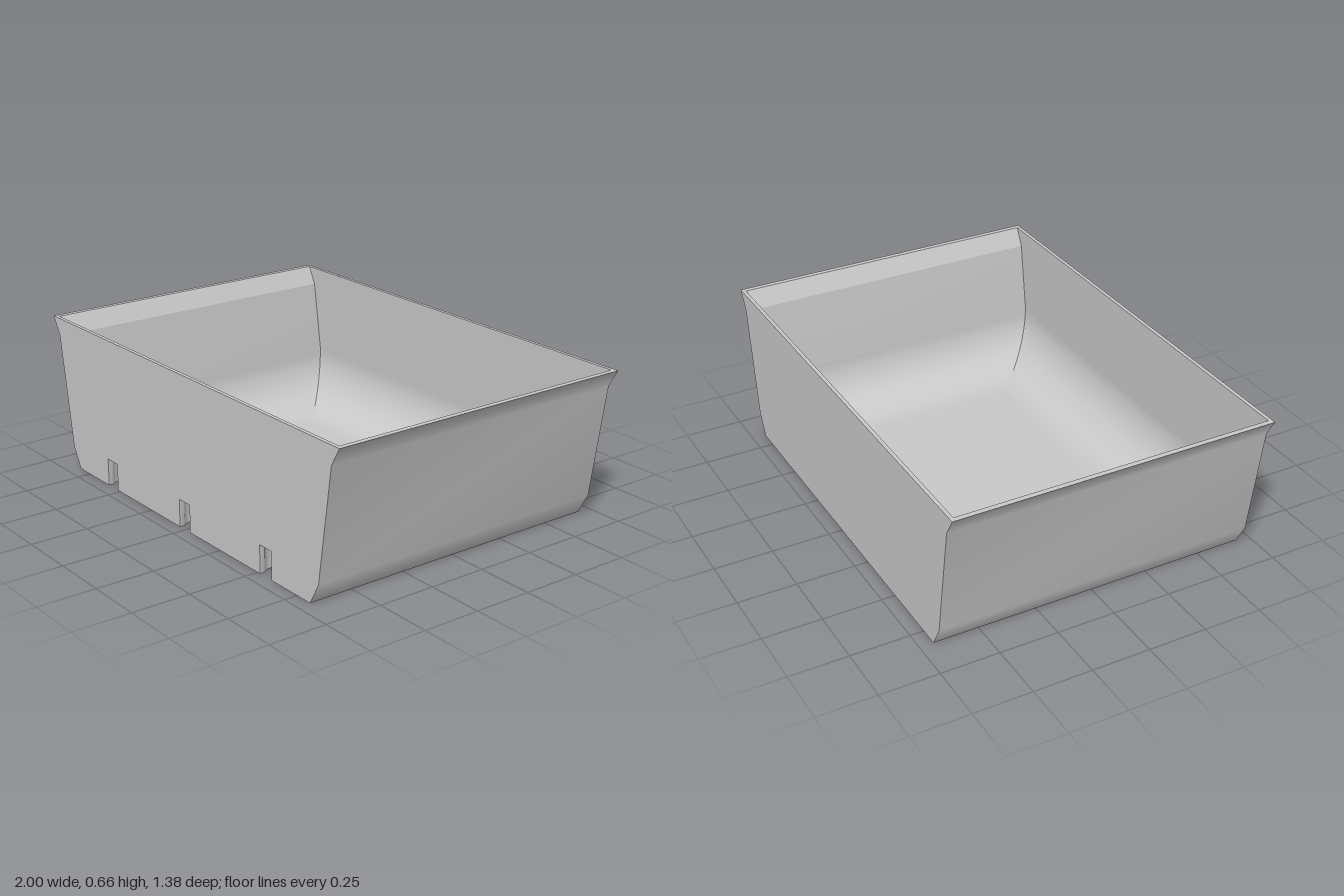
import * as THREE from 'three';
import { mergeGeometries } from 'three/addons/utils/BufferGeometryUtils.js';

const TOP = 0.657, HZ = 0.692;         // height and half depth of the tray
const NOTCHES = [-0.553, 0, 0.553];    // x centres of the drain notches
const SLOT = 0.037, POCKET_R = 0.055, POCKET_Z = 0.63, SLOT_TOP = 0.12;
const OUTER = [[0.83, 0], [0.88, 0.09], [0.955, 0.58], [1, TOP]]; // half x, y

// Smooth surface through rows of points
function grid(rows) {
  const n = rows[0].length, index = [];
  for (let i = 0; i < rows.length - 1; i++) {
    for (let j = 0; j < n - 1; j++) {
      const a = i * n + j, b = a + n;
      index.push(a, b, a + 1, b, b + 1, a + 1);
    }
  }
  const geo = new THREE.BufferGeometry();
  geo.setAttribute('position', new THREE.Float32BufferAttribute(rows.flat(2), 3));
  geo.setIndex(index);
  geo.computeVertexNormals();
  return geo;
}

// Four mitred panels following rectangular rings [halfX, halfZ, y]
function ringPanels(rings) {
  const corners = [[1, -1], [1, 1], [-1, 1], [-1, -1]];
  return mergeGeometries(corners.map((c, k) => {
    const d = corners[(k + 1) % 4];
    return grid(rings.map(([hx, hz, y]) => [c, d].map(([sx, sz]) => [sx * hx, y, sz * hz])));
  }));
}

const flat = (points) => new THREE.ShapeGeometry(
  new THREE.Shape(points.map(([x, y]) => new THREE.Vector2(x, y))));

// Keyhole plan of one notch: a slot through the wall opening into a round pocket
function keyhole() {
  const end = Math.PI - Math.asin(SLOT / POCKET_R), pts = [[-SLOT, HZ]];
  for (let i = 0; i <= 24; i++) {
    const a = -end + (2 * end * i) / 24;
    pts.push([POCKET_R * Math.sin(a), POCKET_Z - POCKET_R * Math.cos(a)]);
  }
  pts.push([SLOT, HZ]);
  return pts;
}

// Pocket ceiling slopes up from the back to the slot
function ceilingY(z) {
  const t = (z - (POCKET_Z - POCKET_R)) / 0.095;
  return 0.06 + (SLOT_TOP - 0.06) * Math.min(1, Math.max(0, t));
}

export function createModel() {
  const model = new THREE.Group();
  const grey = new THREE.MeshStandardMaterial({ color: 0xc9c9c9, side: THREE.DoubleSide });
  grey.name = 'grey';
  const add = (name, geo, parent = model) => {
    const mesh = new THREE.Mesh(geo, grey);
    mesh.name = name;
    parent.add(mesh);
    return mesh;
  };

  // Flared outer side walls
  for (const s of [1, -1]) {
    add(s > 0 ? 'leftOuterWall' : 'rightOuterWall',
      grid(OUTER.map(([x, y]) => [[s * x, y, -s * HZ], [s * x, y, s * HZ]])));
  }

  // Flat end walls, the front one cut by the notches
  const upper = [...OUTER, ...OUTER.map(([x, y]) => [-x, y]).reverse()];
  const cuts = NOTCHES.flatMap((x) => [
    [x - SLOT, 0], [x - SLOT, SLOT_TOP], [x + SLOT, SLOT_TOP], [x + SLOT, 0]]);
  add('frontOuterWall', flat([...upper, ...cuts])).position.z = HZ;
  const back = add('backOuterWall', flat(upper));
  back.rotation.y = Math.PI;
  back.position.z = -HZ;

  // Underside with keyhole cut-outs along the front edge
  const key = keyhole(), base = OUTER[0][0];
  const edge = NOTCHES.flatMap((cx) => key.map(([x, z]) => [cx + x, z]));
  add('underside', flat([[base, HZ], [base, -HZ], [-base, -HZ], [-base, HZ], ...edge])
    .rotateX(Math.PI / 2));

  // Drain notches: pocket wall and sloping ceiling
  const half = key.slice(0, Math.ceil(key.length / 2));
  for (const x of NOTCHES) {
    const notch = new THREE.Group();
    notch.name = 'drainNotch';
    notch.position.x = x;
    add('notchWall', grid([
      key.map(([px, z]) => [px, ceilingY(z), z]),
      key.map(([px, z]) => [px, 0, z])]), notch);
    add('notchCeiling', grid(half.map(([px, z]) =>
      [[px, ceilingY(z), z], [-px, ceilingY(z), z]])), notch);
    model.add(notch);
  }

  // Thin flat rim
  const innerZ = 0.676;
  add('rim', ringPanels([[1, HZ, TOP], [0.978, innerZ, TOP]]));

  // Flared lip inside the rim
  add('innerLip', ringPanels([[0.978, innerZ, TOP], [0.938, innerZ, 0.58]]));

  // Inner walls curving into the thin floor
  const R = 0.25, floorY = 0.02, rings = [[0.938, innerZ, 0.58]];
  for (let i = 0; i <= 14; i++) {
    const a = (i / 14) * Math.PI / 2, inset = R * (1 - Math.cos(a));
    rings.push([0.892 - inset, innerZ - inset, floorY + R * (1 - Math.sin(a))]);
  }
  add('innerWalls', ringPanels(rings));

  // Inner floor
  const [fx, fz, fy] = rings[rings.length - 1];
  add('innerFloor', grid([1, -1].map((s) => [[s * fx, fy, -fz], [s * fx, fy, fz]])));

  return model;
}
